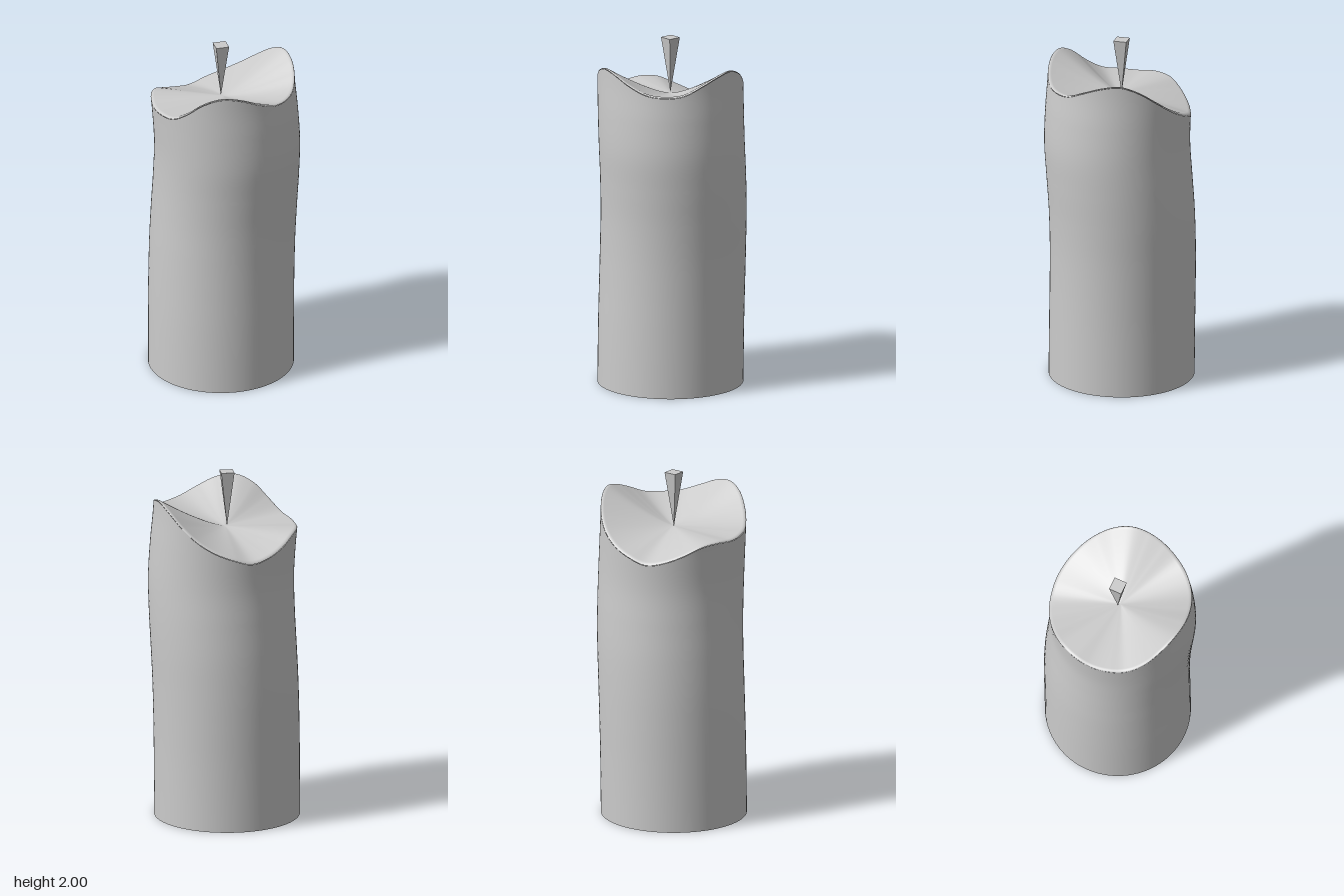
import * as THREE from 'three';
import { ParametricGeometry } from 'three/addons/geometries/ParametricGeometry.js';

const RADIUS = 0.411, CENTER_Y = 1.68, LIP = 0.012;

// Rim height every 15 degrees, from +x round through +z
const RIM = [
  1.765, 1.775, 1.815, 1.86, 1.875, 1.835, 1.755, 1.695, 1.68, 1.675, 1.685, 1.675,
  1.63, 1.59, 1.57, 1.60, 1.64, 1.695, 1.765, 1.835, 1.875, 1.86, 1.82, 1.775,
];
// Centre line offset every 0.2 units of height
const SWAY_X = [-0.017, -0.018, -0.019, -0.019, -0.016, -0.007, 0.007, 0.017, 0.007, -0.012, -0.017];
const SWAY_Z = [0.009, 0.007, 0.004, -0.001, -0.006, -0.01, -0.008, -0.001, 0.005, 0.009, 0.009];

const rimCurve = new THREE.CatmullRomCurve3(
  RIM.map((h) => new THREE.Vector3(0, h, 0)), true, 'catmullrom', 0.5);
const swayCurve = new THREE.CatmullRomCurve3(
  SWAY_X.map((x, i) => new THREE.Vector3(x, 0, SWAY_Z[i])), false, 'catmullrom', 0.5);

const rimHeight = (t) => rimCurve.getPoint(t).y;

// Point of the swaying column at turn t (0..1), height y and relative radius r
function place(t, y, r, target) {
  const a = t * Math.PI * 2;
  const c = swayCurve.getPoint(y / 2);
  target.set(c.x + Math.cos(a) * RADIUS * r, y, c.z + Math.sin(a) * RADIUS * r);
}

// Outer wall, open at the bottom
function wallPoint(u, v, target) {
  const t = 1 - u;
  place(t, v * (rimHeight(t) - LIP), 1, target);
}

// Melted hollow with a softly rounded lip
function topPoint(u, v, target) {
  const t = 1 - u;
  const r = Math.max(1 - (0.1 * v + 0.9 * v * v), 0) * 0.999 + 0.001;
  const k = Math.min(Math.max((r - 0.95) / 0.05, 0), 1);
  const y = CENTER_Y + (rimHeight(t) - CENTER_Y) * Math.pow(r, 1.3)
    - LIP * (1 - Math.sqrt(Math.max(1 - k * k * 0.98, 0)));
  place(t, y, r, target);
}

export function createModel() {
  const model = new THREE.Group();
  model.name = 'candle';
  const wax = new THREE.MeshStandardMaterial({ color: 0xcccccc, side: THREE.DoubleSide });

  const add = (name, geometry, material) => {
    const mesh = new THREE.Mesh(geometry, material);
    mesh.name = name;
    model.add(mesh);
    return mesh;
  };

  add('waxBody', new ParametricGeometry(wallPoint, 96, 48), wax);
  add('meltedTop', new ParametricGeometry(topPoint, 96, 32), wax);

  // Four-sided wick, widening upwards from a point
  const wick = add('wick', new THREE.CylinderGeometry(0.053, 0, 0.32, 4),
    new THREE.MeshStandardMaterial({ color: 0xcccccc, flatShading: true }));
  wick.position.set(-0.017, 1.84, 0.009);

  return model;
}
